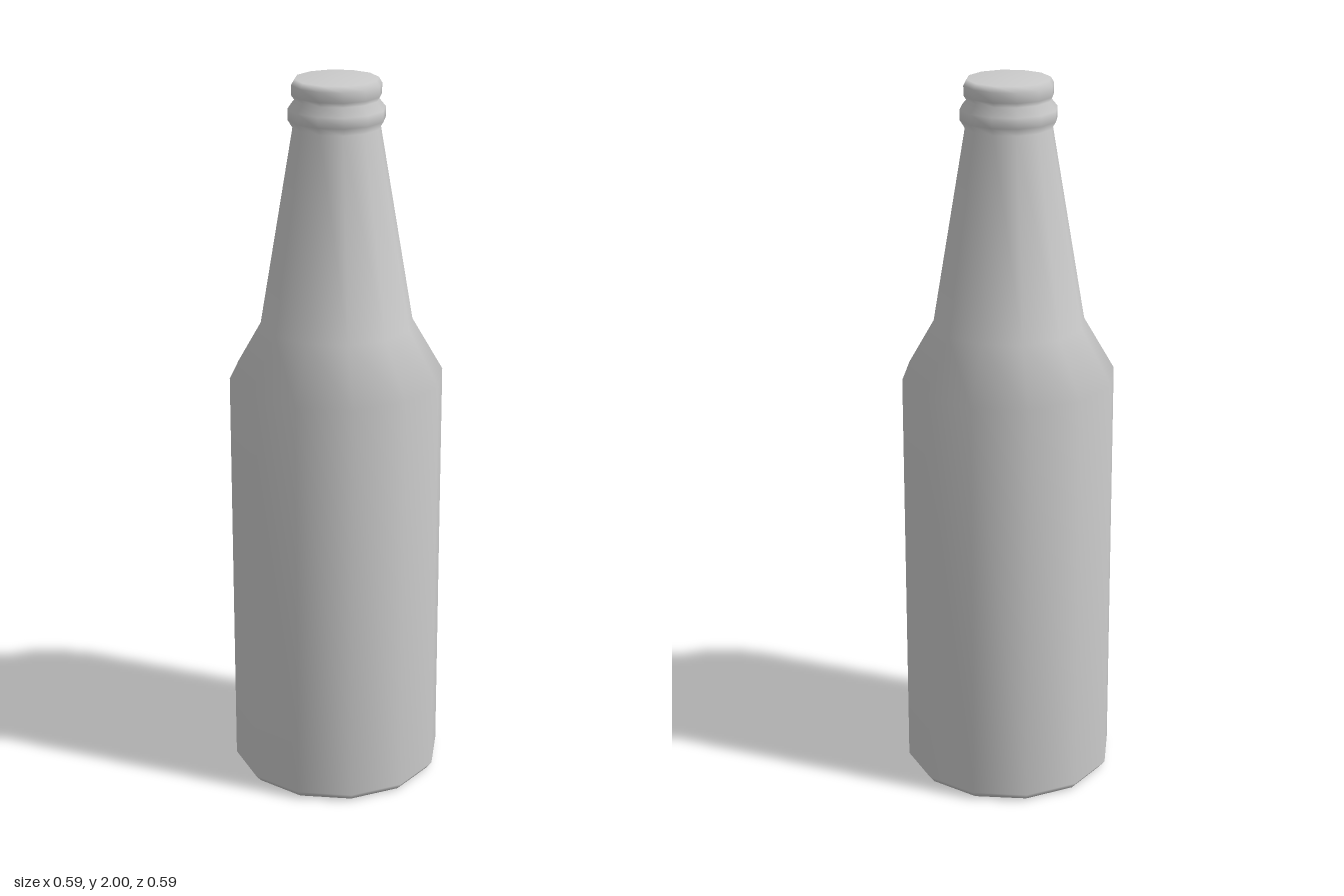
import * as THREE from 'three';

export function createModel() {
  const group = new THREE.Group();
  group.name = 'bottle';

  // Closed bottle profile as [radius, height], from base centre to cap centre
  const profile = [
    [0, 0], [0.28, 0],                  // base
    [0.296, 0.02], [0.296, 1.18],       // body
    [0.21, 1.33], [0.118, 1.872],       // shoulder and neck
    [0.131, 1.893], [0.131, 1.922],     // collar ring
    [0.112, 1.945],                     // groove
    [0.121, 1.958], [0.121, 1.985],     // lip
    [0.112, 2], [0, 2],                 // closed top
  ].map(([r, y]) => new THREE.Vector2(r, y));

  // Twelve sides with smooth normals
  const bottle = new THREE.Mesh(
    new THREE.LatheGeometry(profile, 12),
    new THREE.MeshStandardMaterial({ color: 0xcccccc })
  );
  bottle.name = 'bottleBody';
  group.add(bottle);

  return group;
}
